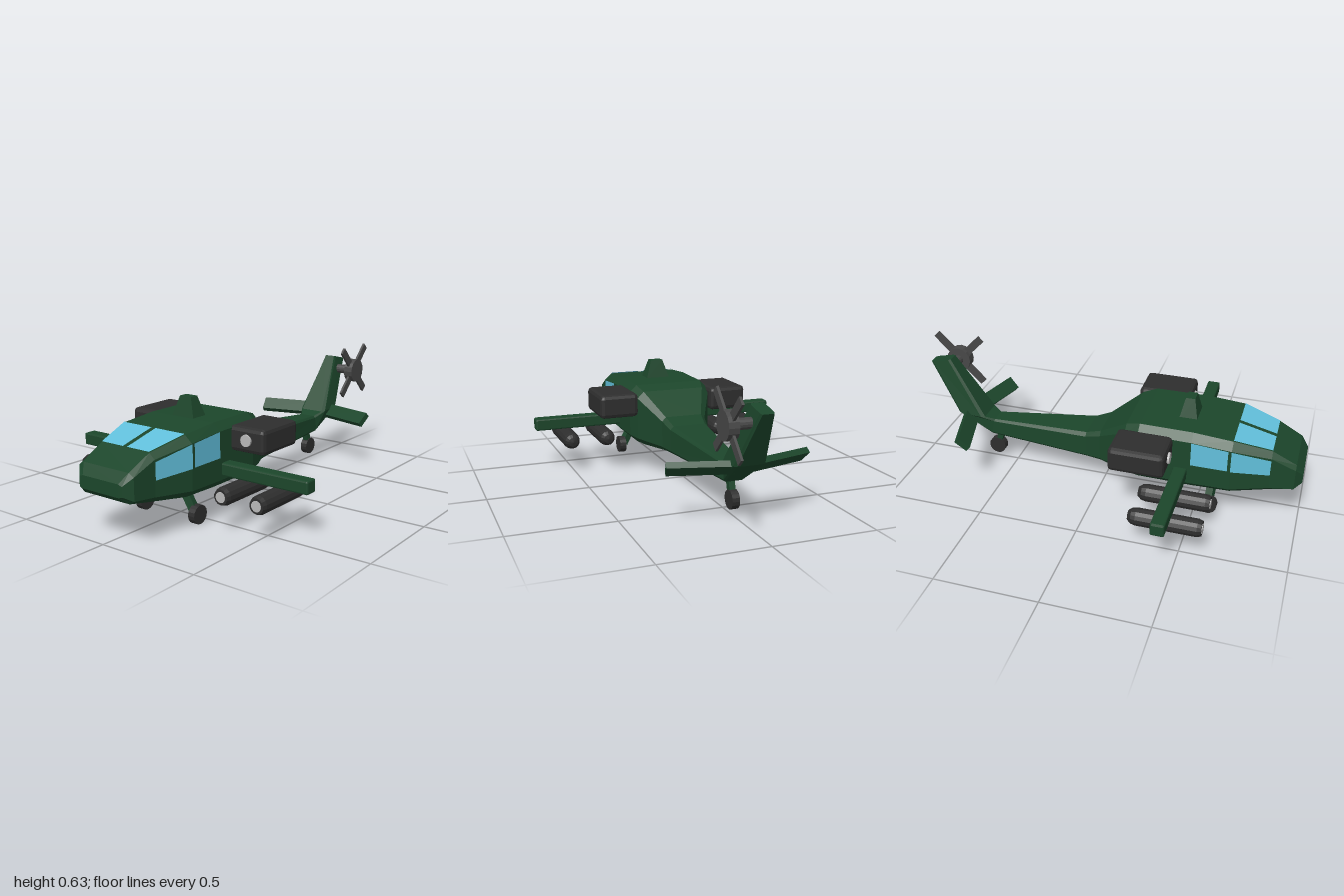
import * as THREE from 'three';
import { RoundedBoxGeometry } from 'three/addons/geometries/RoundedBoxGeometry.js';

const mat = (color, side = THREE.FrontSide) =>
  new THREE.MeshStandardMaterial({ color, flatShading: true, side });

// Octagonal loft; each section is [zTop, yTop, zBottom, yBottom, halfWidth]
function loft(sections) {
  const pos = [], idx = [], n = 8;
  for (const [zt, yt, zb, yb, w] of sections) {
    const i = w * 0.83;
    const ring = [[i, 0], [w, 0.12], [w, 0.88], [i, 1], [-i, 1], [-w, 0.88], [-w, 0.12], [-i, 0]];
    for (const [x, t] of ring) pos.push(x, yb + (yt - yb) * t, zb + (zt - zb) * t);
  }
  const last = (sections.length - 1) * n;
  for (let a = 0; a < last; a += n) {
    for (let j = 0; j < n; j++) {
      const k = (j + 1) % n;
      idx.push(a + j, a + n + j, a + n + k, a + j, a + n + k, a + k);
    }
  }
  for (let j = 1; j < n - 1; j++) idx.push(0, j, j + 1, last, last + j + 1, last + j);
  const g = new THREE.BufferGeometry();
  g.setAttribute('position', new THREE.Float32BufferAttribute(pos, 3));
  g.setIndex(idx);
  g.computeVertexNormals();
  return g;
}

// Flat four-cornered pane
function pane(corners) {
  const g = new THREE.BufferGeometry();
  g.setAttribute('position', new THREE.Float32BufferAttribute(corners.flat(), 3));
  g.setIndex([0, 1, 2, 0, 2, 3]);
  g.computeVertexNormals();
  return g;
}

export function createModel() {
  const model = new THREE.Group();
  const green = mat(0x1c462b), dark = mat(0x2e2e2e), rotorGrey = mat(0x484848);
  const glass = mat(0x62c0dc, THREE.DoubleSide), light = mat(0xb8b8b8);

  const add = (name, geometry, material, x = 0, y = 0, z = 0, parent = model) => {
    const m = new THREE.Mesh(geometry, material);
    m.name = name;
    m.position.set(x, y, z);
    parent.add(m);
    return m;
  };
  // Square strut between two points
  const strut = (name, a, b, width) => {
    const from = new THREE.Vector3(...a), to = new THREE.Vector3(...b);
    const m = add(name, new THREE.BoxGeometry(width, from.distanceTo(to), width), green);
    m.position.copy(from).lerp(to, 0.5);
    m.quaternion.setFromUnitVectors(new THREE.Vector3(0, 1, 0), to.sub(from).normalize());
  };
  const wheel = (name, x, y, z) => {
    add(name, new THREE.CylinderGeometry(0.045, 0.045, 0.036, 16), dark, x, y, z).rotation.z = Math.PI / 2;
  };

  // Fuselage, tail boom and swept fin in one skin
  add('fuselage', loft([
    [1, 0.29, 1, 0.23, 0.125],
    [0.965, 0.335, 0.965, 0.2, 0.16],
    [0.85, 0.395, 0.85, 0.18, 0.17],
    [0.67, 0.44, 0.67, 0.16, 0.22],
    [0.48, 0.455, 0.48, 0.155, 0.22],
    [0.22, 0.455, 0.22, 0.155, 0.215],
    [0.15, 0.432, 0.15, 0.153, 0.195],
    [0, 0.325, 0, 0.152, 0.115],
    [-0.08, 0.295, -0.08, 0.153, 0.1],
    [-0.6, 0.255, -0.62, 0.166, 0.048],
    [-0.645, 0.275, -0.79, 0.285, 0.076],
    [-0.83, 0.565, -0.94, 0.54, 0.032],
  ]), green);

  // Sensor mast on the roof
  const mast = new THREE.CylinderGeometry(Math.SQRT1_2, Math.SQRT2, 0.1, 4);
  mast.rotateY(Math.PI / 4);
  mast.scale(0.065, 1, 0.045);
  add('roofMast', mast, green, 0, 0.497, 0.43);

  for (const s of [1, -1]) {
    // Cockpit glazing
    add('windscreen', pane([
      [0.012 * s, 0.444, 0.67], [0.18 * s, 0.444, 0.67],
      [0.139 * s, 0.399, 0.85], [0.012 * s, 0.399, 0.85],
    ]), glass);
    add('frontSideWindow', pane([
      [0.174 * s, 0.28, 0.85], [0.174 * s, 0.36, 0.85],
      [0.224 * s, 0.405, 0.67], [0.224 * s, 0.295, 0.67],
    ]), glass);
    add('rearSideWindow', pane([
      [0.223 * s, 0.297, 0.655], [0.223 * s, 0.405, 0.655],
      [0.223 * s, 0.419, 0.48], [0.223 * s, 0.297, 0.48],
    ]), glass);

    // Engine pods
    add('enginePod', new RoundedBoxGeometry(0.2, 0.12, 0.27, 1, 0.02), dark, 0.298 * s, 0.37, 0.255);
    add('engineIntake', new THREE.CylinderGeometry(0.028, 0.028, 0.03, 16), light, 0.302 * s, 0.372, 0.385)
      .rotation.x = Math.PI / 2;

    // Stub wing with two stores
    add('stubWing', new RoundedBoxGeometry(0.49, 0.062, 0.066, 1, 0.008), green, 0.43 * s, 0.24, 0.432);
    for (const x of [0.322, 0.512]) {
      const profile = [[0, -0.175], [0.024, -0.17], [0.038, -0.152], [0.043, -0.13],
        [0.043, 0.155], [0.036, 0.175], [0, 0.175]].map(p => new THREE.Vector2(...p));
      const g = new THREE.LatheGeometry(profile, 14);
      g.rotateX(Math.PI / 2);
      add('wingStore', g, dark, x * s, 0.168, 0.43);
      add('storeTip', new THREE.CylinderGeometry(0.025, 0.025, 0.01, 14), light, x * s, 0.168, 0.603)
        .rotation.x = Math.PI / 2;
    }

    // Main landing gear
    strut('mainStrut', [0.08 * s, 0.18, 0.58], [0.15 * s, 0.05, 0.57], 0.036);
    wheel('mainWheel', 0.161 * s, 0.047, 0.57);

    // Swept, tilted tailplane
    const plane = add('tailplane', new THREE.BoxGeometry(0.3, 0.03, 0.075), green, 0.187 * s, 0.265, -0.69);
    plane.rotation.set(0.75, -0.27 * s, 0, 'YXZ');
  }

  // Tail wheel
  strut('tailStrut', [0, 0.185, -0.575], [0, 0.08, -0.605], 0.03);
  wheel('tailWheel', 0, 0.077, -0.607);

  // Tail rotor on the left of the fin
  const rotor = new THREE.Group();
  rotor.name = 'tailRotor';
  rotor.position.set(0.14, 0.49, -0.86);
  model.add(rotor);
  add('rotorShaft', new THREE.CylinderGeometry(0.025, 0.025, 0.13, 14), rotorGrey, -0.065, 0, 0, rotor)
    .rotation.z = Math.PI / 2;
  add('rotorHub', new THREE.CylinderGeometry(0.065, 0.065, 0.048, 16), rotorGrey, 0, 0, 0, rotor)
    .rotation.z = Math.PI / 2;
  for (let i = 0; i < 2; i++) {
    add('rotorBlades', new THREE.BoxGeometry(0.012, 0.355, 0.04), rotorGrey, 0, 0, 0, rotor)
      .rotation.x = Math.PI / 4 + i * Math.PI / 2;
  }
  return model;
}
